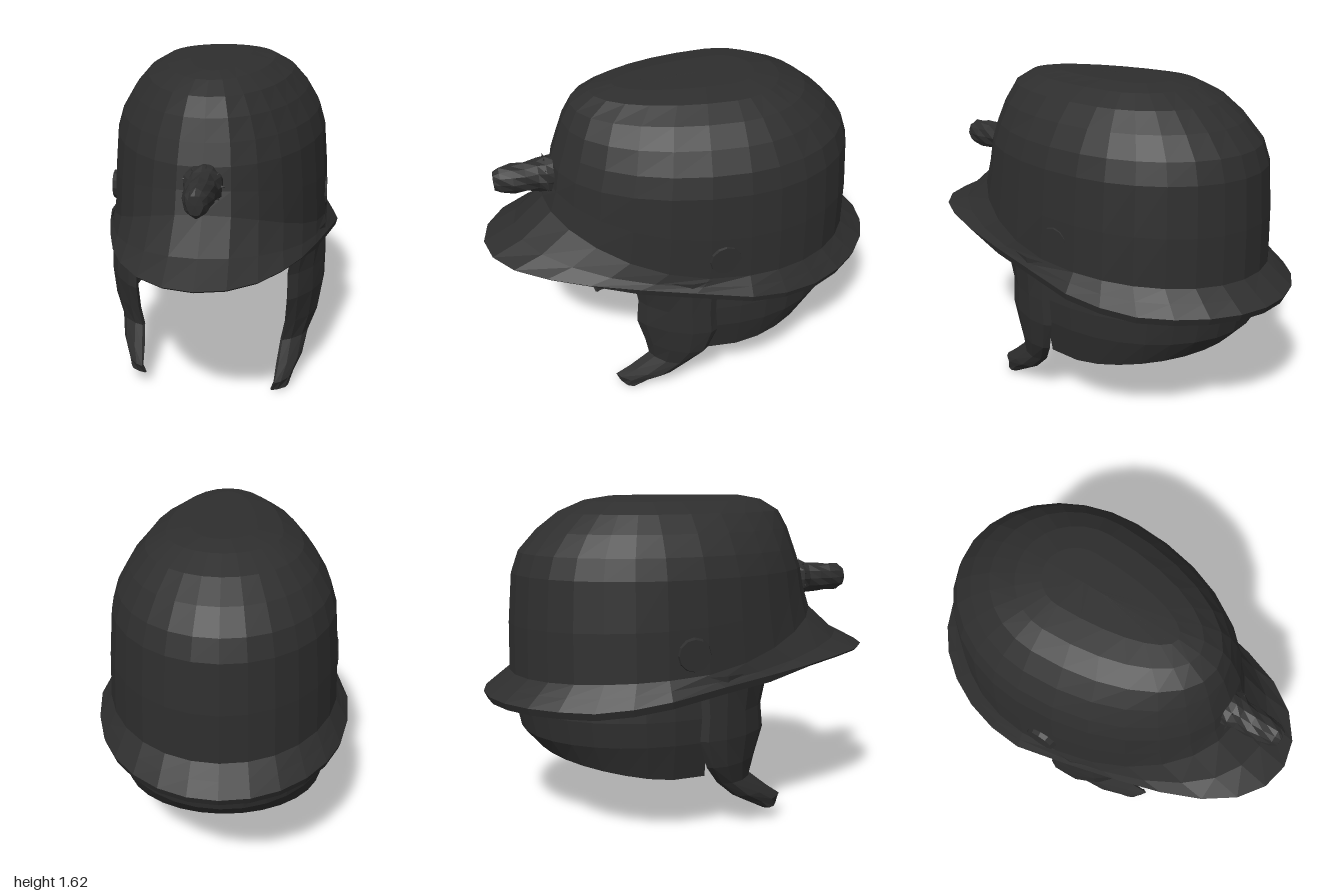
import * as THREE from 'three';

const TAU = Math.PI * 2;
const lerp = (a, b, u) => a + (b - a) * u;

export function createModel() {
  const black = new THREE.MeshStandardMaterial({ color: 0x2e2e2e, flatShading: true, side: THREE.DoubleSide });
  black.name = 'charcoal';
  const root = new THREE.Group();
  root.name = 'helmet';

  const add = (name, geometry, parent = root) => {
    const mesh = new THREE.Mesh(geometry, black);
    mesh.name = name;
    parent.add(mesh);
    return mesh;
  };

  // Skin a list of cross-sections, each an array of [x, y, z] points
  const loft = (rows) => {
    const n = rows[0].length, index = [];
    for (let r = 0; r < rows.length - 1; r++)
      for (let c = 0; c < n - 1; c++) {
        const a = r * n + c, b = a + n;
        index.push(a, b, a + 1, a + 1, b, b + 1);
      }
    const g = new THREE.BufferGeometry();
    g.setAttribute('position', new THREE.Float32BufferAttribute(rows.flat(2), 3));
    g.setIndex(index);
    g.computeVertexNormals();
    return g;
  };

  // Egg-shaped ring in plan; t = 0 is the front, widest at z = -0.2
  const CZ = -0.2, N = 28;
  const egg = (t, w, zf, zb) => {
    const c = Math.cos(t);
    return [w * Math.sin(t), CZ + c * (c > 0 ? zf - CZ : CZ - zb)];
  };
  const ring = (fn) => Array.from({ length: N + 1 }, (_, i) => fn((i / N) * TAU));

  // Line where the dome meets the brim, rising toward the front
  const base = (t) => {
    const c = Math.cos(t), [x, z] = egg(t, 0.56, 0.69, -0.87);
    return [x, c > 0 ? 0.8 + 0.25 * c * c : 0.8 + 0.03 * c, z];
  };
  // Outer brim edge, narrowed toward the peak
  const edge = (t) => {
    const c = Math.cos(t), [x, z] = egg(t, 0.62, 1, -1);
    const y = z > 0 ? 0.745 + 0.085 * Math.min(1, z * 1.3) : 0.745 - 0.075 * Math.min(1, -z * 2);
    return [c > 0 ? x * (1 - 0.1 * Math.sin(Math.PI * c)) : x, y, z];
  };

  // Dome
  const levels = [
    [1.615, 0, -0.05, -0.1], [1.61, 0.15, 0.32, -0.36], [1.59, 0.27, 0.43, -0.48],
    [1.535, 0.365, 0.52, -0.61], [1.45, 0.44, 0.565, -0.72], [1.35, 0.5, 0.6, -0.81],
    [1.25, 0.53, 0.635, -0.845],
  ];
  const dome = levels.map(([y, w, zf, zb]) => ring((t) => {
    const [x, z] = egg(t, w, zf, zb);
    return [x, y, z];
  }));
  dome.push(ring((t) => {
    const [x, z] = egg(t, 0.55, 0.655, -0.865);
    return [x, lerp(1.25, base(t)[1], 0.5), z];
  }));
  dome.push(ring(base));
  add('dome', loft(dome));

  // Brim: flared top, thin lip and underside
  const brim = [
    ring(base),
    ring((t) => {
      const a = base(t), b = edge(t), c = Math.max(0, Math.cos(t));
      return [lerp(a[0], b[0], 0.5), lerp(a[1], b[1], 0.5) - 0.03 * c, lerp(a[2], b[2], 0.5)];
    }),
    ring(edge),
    ring((t) => {
      const [x, y, z] = edge(t);
      return [x * 0.985, y - (z > 0.5 ? 0.012 : 0.035), z * 0.985];
    }),
    ring((t) => {
      const [x, , z] = base(t);
      return [x * 0.94, edge(t)[1] + 0.01, z * 0.94];
    }),
  ];
  add('brim', loft(brim));

  // Inner shelf and sagging lining that close the underside
  const liningRim = ring((t) => {
    const [x, z] = egg(t, 0.43, 0.33, -0.72);
    return [x, 0.82, z];
  });
  add('lining', loft([brim[4], liningRim, ring(() => [-0.05, 0.5, 0.05])]));

  // Neck guard: rows run down the outside and up the inside
  const guardRows = [
    [0.76, 0.53, -0.83], [0.6, 0.545, -0.845], [0.48, 0.54, -0.82], [0.3, 0.5, -0.74],
    [0.31, 0.46, -0.7], [0.48, 0.5, -0.78], [0.76, 0.49, -0.79],
  ];
  const G = 18;
  add('neckGuard', loft(guardRows.map(([y, w, zb], r) =>
    Array.from({ length: G + 1 }, (_, i) => {
      const t = lerp(1.33, TAU - 1.33, i / G);
      const end = i === 0 || i === G;
      const src = end && r > 3 ? guardRows[6 - r] : [y, w, zb];
      const [x, z] = egg(t, src[1], 0.6, src[2]);
      const lift = src[0] < 0.4 ? 0.09 * Math.max(0, -Math.cos(t)) : 0;
      return [x, src[0] + lift, z];
    }))));

  // Ear flaps: y, front z, back z, front x, back x
  const flapRows = [
    [0.8, 0.34, -0.05, 0.4, 0.53], [0.6, 0.31, -0.04, 0.375, 0.54], [0.47, 0.32, -0.05, 0.375, 0.54],
    [0.32, 0.28, -0.01, 0.37, 0.51], [0.21, 0.26, 0.06, 0.355, 0.45], [0.12, 0.36, 0.15, 0.34, 0.42],
    [0.06, 0.435, 0.24, 0.325, 0.385], [0.01, 0.42, 0.32, 0.31, 0.36], [0, 0.37, 0.37, 0.33, 0.33],
  ];
  const flap = (side) => loft(flapRows.map(([y, zf, zb, xf, xb], r) =>
    Array.from({ length: 11 }, (_, k) => {
      const a = (k / 10) * TAU * side, u = 0.5 - 0.5 * Math.cos(a);
      const thick = r === flapRows.length - 1 ? 0 : y < 0.1 ? 0.03 : 0.045;
      const x = lerp(xf, xb, u) + 0.025 * Math.sin(Math.PI * u) + thick * Math.sin(a) * side;
      // The right flap hangs a little shorter and wider
      const drop = side < 0 ? 0.06 * (1 - y / 0.8) : 0;
      return [side * (x + drop * 0.4), y + drop, lerp(zf, zb, u)];
    })));
  add('leftEarFlap', flap(1));
  add('rightEarFlap', flap(-1));

  // Round side studs, the left one sunk deeper
  for (const side of [1, -1]) {
    const stud = add(side > 0 ? 'leftStud' : 'rightStud', new THREE.CylinderGeometry(0.075, 0.085, 0.03, 12));
    stud.rotation.z = -side * Math.PI / 2;
    stud.position.set(side > 0 ? 0.537 : -0.55, 0.91, -0.08);
  }

  // Front ornament: faceted stub with a ruffled collar; z, half width, half height
  const ornament = new THREE.Group();
  ornament.name = 'frontOrnament';
  ornament.position.y = 1.175;
  root.add(ornament);
  const stubRows = [
    [0.6, 0.085, 0.09], [0.66, 0.09, 0.09], [0.7, 0.07, 0.08], [0.76, 0.07, 0.072],
    [0.82, 0.065, 0.072], [0.88, 0.052, 0.066], [0.91, 0.035, 0.045], [0.912, 0, 0],
  ];
  add('ornamentStub', loft(stubRows.map(([z, w, h], r) =>
    Array.from({ length: 13 }, (_, k) => {
      const a = -(k / 12) * TAU, ruffle = 1 + (k % 2 ? 0.05 : -0.05) * (r % 2 ? 1 : -1);
      return [w * ruffle * Math.cos(a), h * ruffle * Math.sin(a), z];
    }))), ornament);
  for (let i = 0; i < 9; i++) {
    const a = (i / 9) * TAU;
    const tuft = add('ornamentTuft', new THREE.ConeGeometry(0.022, 0.07, 4), ornament);
    tuft.position.set(Math.cos(a) * 0.065, Math.sin(a) * 0.065, 0.665);
    tuft.rotation.z = a - Math.PI / 2;
  }
  return root;
}
